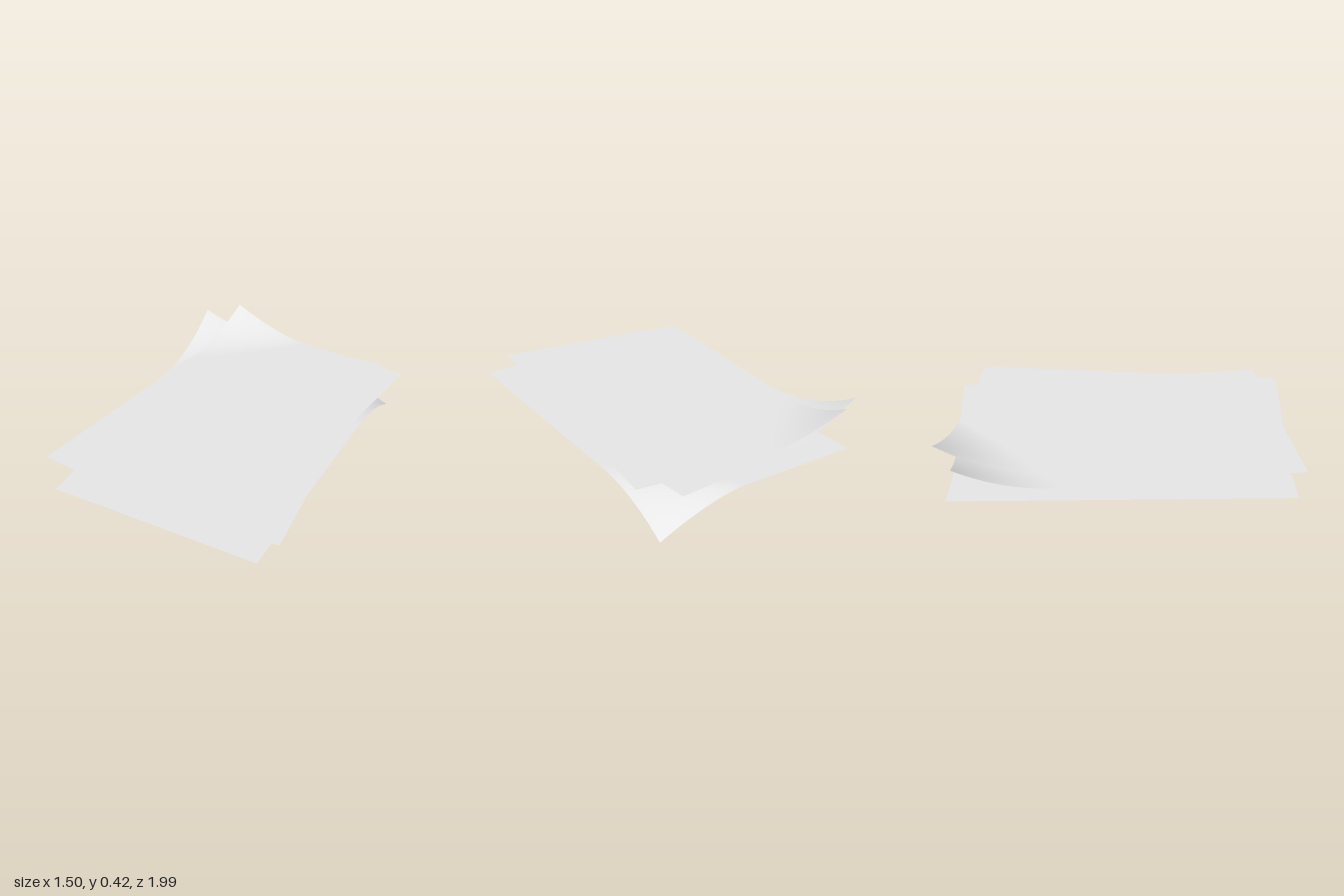
import * as THREE from 'three';

const WIDTH = 1.17, LENGTH = 1.8;
const CURL_X = 0.485, CURL_Z = 0.56; // reach of the curl along the short and long edges

// Lift at a point, from its distances to the curled corner (1 at the corner, 0 on flat paper)
function curl(u, v) {
  const a = u / CURL_X, b = v / CURL_Z;
  const reach = Math.pow(Math.pow(a, 1.1) + Math.pow(b, 1.1), 1 / 1.1);
  if (reach >= 1) return 0;
  const power = 1.6 + 0.6 * b / (a + b + 1e-6); // softer roll along the long edge
  return Math.pow(1 - reach, power);
}

// One sheet of paper with a back corner bent by `lift`; side is -1 or +1 in x
function makeSheet(name, material, { y, turn, side, lift }) {
  const geometry = new THREE.PlaneGeometry(WIDTH, LENGTH, 48, 72).rotateX(-Math.PI / 2);
  const p = geometry.attributes.position;
  for (let i = 0; i < p.count; i++) {
    const u = Math.max(0, WIDTH / 2 - side * p.getX(i));
    const v = Math.max(0, LENGTH / 2 + p.getZ(i));
    p.setY(i, lift * curl(u, v));
  }
  geometry.computeVertexNormals();
  const sheet = new THREE.Mesh(geometry, material);
  sheet.name = name;
  sheet.position.y = y;
  sheet.rotation.y = turn;
  return sheet;
}

export function createModel() {
  const paper = new THREE.MeshStandardMaterial({ color: 0xe7e7e7, side: THREE.DoubleSide });
  paper.name = 'paper';

  const model = new THREE.Group();
  model.name = 'paperStack';
  model.add(
    makeSheet('topSheet', paper, { y: 0.28, turn: 0, side: -1, lift: 0.14 }),
    makeSheet('middleSheet', paper, { y: 0.245, turn: 0.197, side: -1, lift: 0.145 }),
    makeSheet('bottomSheet', paper, { y: 0.146, turn: 0.1, side: 1, lift: -0.146 }),
  );
  return model;
}
